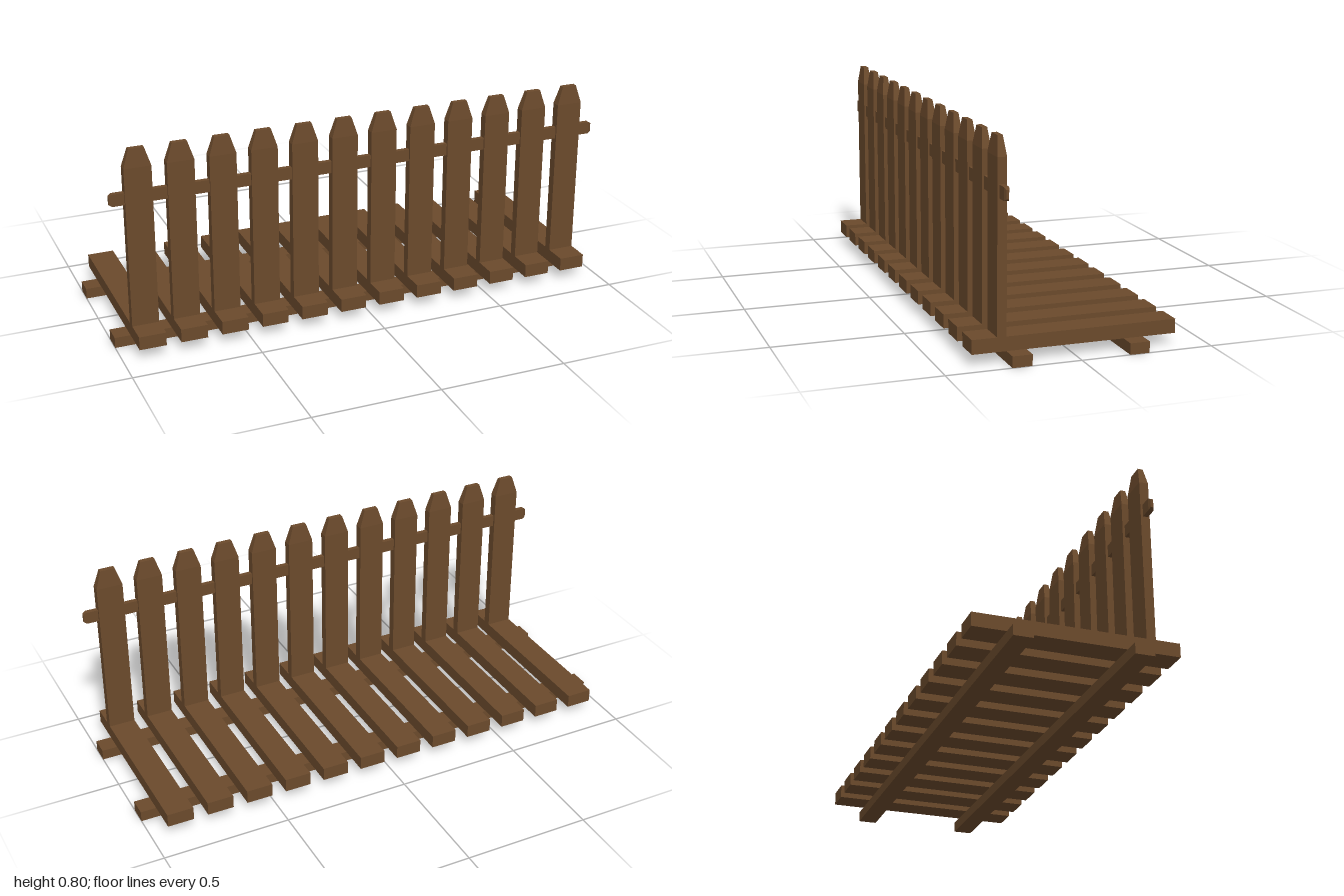
import * as THREE from 'three';

const wood = new THREE.MeshStandardMaterial({ color: 0x6b4a2c });
wood.name = 'brown wood';

function addPart(parent, name, geometry, x, y, z) {
  const mesh = new THREE.Mesh(geometry, wood);
  mesh.name = name;
  mesh.position.set(x, y, z);
  parent.add(mesh);
}

// Apply a rule to every vertex, then give each face a flat normal
function reshape(geometry, rule) {
  const pos = geometry.attributes.position;
  const v = new THREE.Vector3();
  for (let i = 0; i < pos.count; i++) {
    rule(v.fromBufferAttribute(pos, i));
    pos.setXYZ(i, v.x, v.y, v.z);
  }
  const flat = geometry.toNonIndexed();
  flat.computeVertexNormals();
  return flat;
}

// Upright board, base at y = 0, tapering to a blunt tip
function picketGeometry(width, depth, height, shoulder) {
  return reshape(new THREE.BoxGeometry(width, 2, depth, 1, 2, 1), (v) => {
    if (v.y > 0.5) {
      v.x *= 0.56;
      v.z *= 0.56;
      v.y = height;
    } else {
      v.y = v.y < -0.5 ? 0 : shoulder;
    }
  });
}

// Long bar with chamfered ends
function railGeometry(length, height, depth, chamfer) {
  return reshape(new THREE.BoxGeometry(length, height, depth, 3, 1, 1), (v) => {
    if (Math.abs(v.x) > length * 0.4) {
      v.y *= 0.7;
      v.z *= 0.55;
    } else {
      v.x = Math.sign(v.x) * (length / 2 - chamfer);
    }
  });
}

export function createModel() {
  const model = new THREE.Group();
  model.name = 'picketFence';

  // Two skids under the deck
  const skid = new THREE.BoxGeometry(2, 0.042, 0.074);
  for (const z of [0.221, -0.221]) addPart(model, 'skid', skid, 0, 0.021, z);

  // Deck planks, each carrying a picket
  const plank = new THREE.BoxGeometry(0.104, 0.053, 0.77);
  const picket = picketGeometry(0.104, 0.035, 0.705, 0.633);
  const count = 12;
  const spacing = 0.1612;
  for (let i = 0; i < count; i++) {
    const x = (i - (count - 1) / 2) * spacing;
    addPart(model, 'deckPlank', plank, x, 0.0685, 0);
    addPart(model, 'picket', picket, x, 0.095, 0.275);
  }

  // Rail threaded through the pickets
  addPart(model, 'rail', railGeometry(1.994, 0.048, 0.019, 0.012), 0, 0.61, 0.276);

  return model;
}
